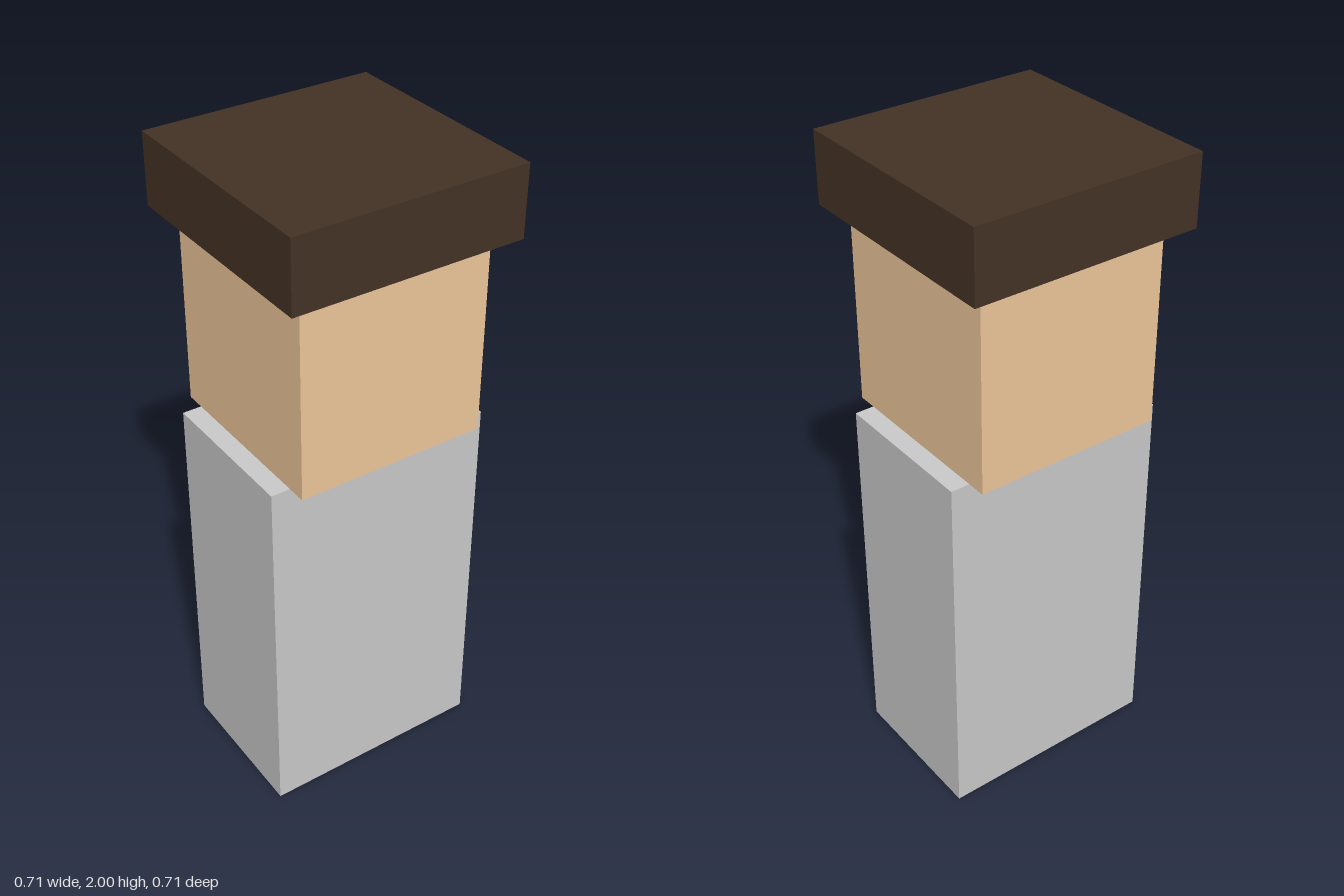
import * as THREE from 'three';

// Box standing on height y, centred on the vertical axis
function block(name, width, height, depth, y, color) {
  const mesh = new THREE.Mesh(
    new THREE.BoxGeometry(width, height, depth),
    new THREE.MeshStandardMaterial({ color })
  );
  mesh.name = name;
  mesh.position.y = y + height / 2;
  return mesh;
}

export function createModel() {
  const model = new THREE.Group();
  model.name = 'blockFigure';
  model.add(
    block('body', 0.709, 1.182, 0.473, 0, 0xcccccc),
    block('head', 0.591, 0.591, 0.591, 1.182, 0xf0c89c),
    // The hair floats just above the head
    block('hair', 0.709, 0.213, 0.709, 1.787, 0x443326)
  );
  return model;
}
